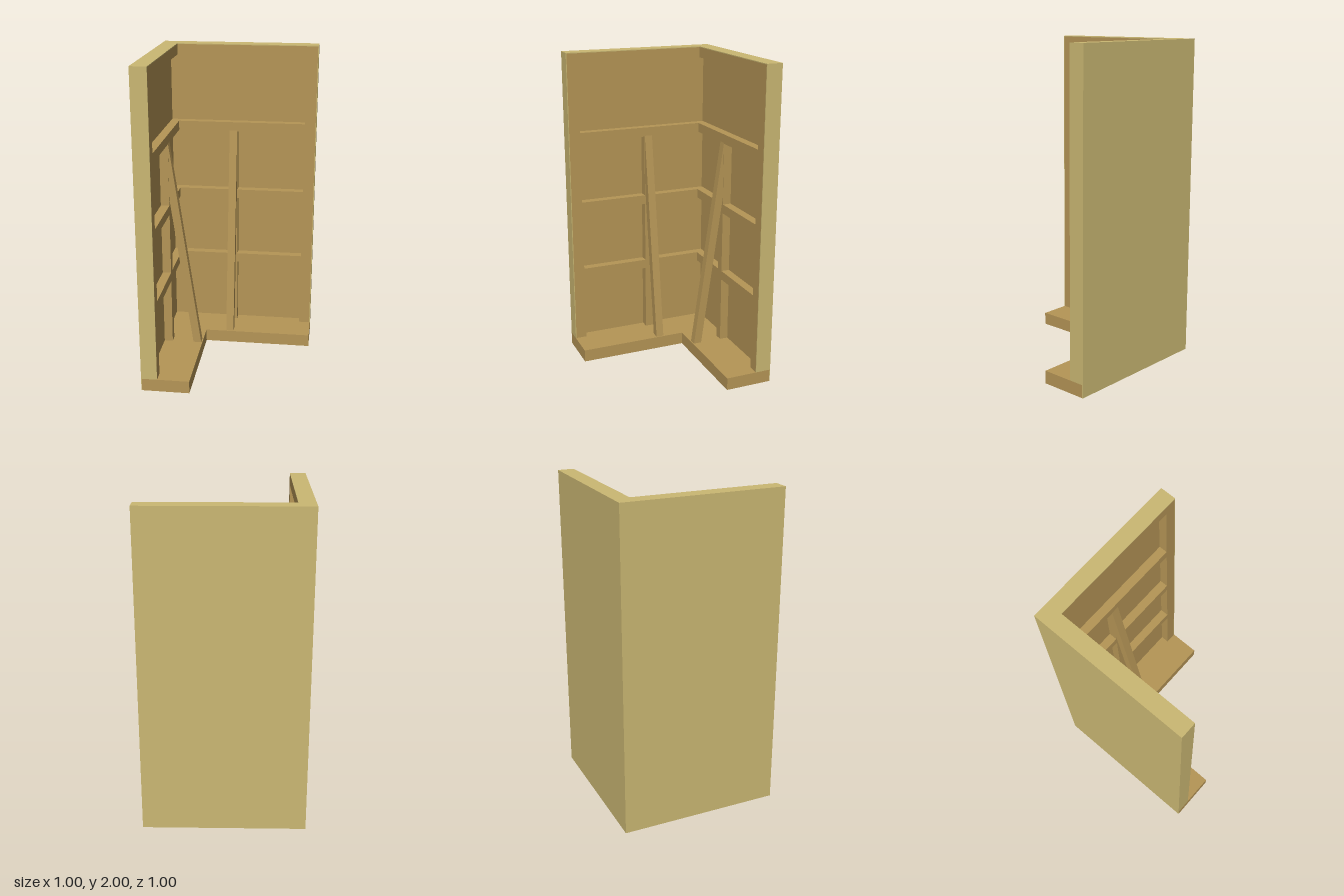
import * as THREE from 'three';

export function createModel() {
  const model = new THREE.Group();
  model.name = 'cornerWall';
  const plaster = new THREE.MeshStandardMaterial({ color: 0xcbb873 });
  plaster.name = 'pale outer facing';
  const wood = new THREE.MeshStandardMaterial({ color: 0xb59556 });
  wood.name = 'brown wood';

  // Both walls share one layout: a = along the wall, y = up, d = depth from the outside.
  function makeWall(name, alongX) {
    const wall = new THREE.Group();
    wall.name = name;
    model.add(wall);

    const box = (part, material, a0, a1, y0, y1, d0, d1) => {
      const a = a1 - a0, d = d1 - d0;
      const mesh = new THREE.Mesh(new THREE.BoxGeometry(alongX ? a : d, y1 - y0, alongX ? d : a), material);
      const am = (a0 + a1) / 2, dm = (d0 + d1) / 2;
      mesh.position.set(alongX ? am : dm, (y0 + y1) / 2, alongX ? dm : am);
      mesh.name = part;
      wall.add(mesh);
    };

    // Outer facing, with caps over the top and the free end
    box('outerFacing', plaster, -0.5, 0.495, 0.08, 1.995, -0.5, -0.457);
    box('topCap', plaster, -0.5, 0.5, 1.995, 2, -0.5, -0.4);
    box('endCap', plaster, 0.495, 0.5, 0.08, 1.995, -0.5, -0.4);
    box('lowerFacing', plaster, -0.5, 0.5, 0, 0.08, -0.5, -0.495);

    // Recessed inner lining and the floor plate
    box('innerLining', wood, -0.457, 0.495, 0.08, 1.995, -0.457, -0.455);
    box('floorPlate', wood, -0.495, 0.5, 0, 0.08, -0.495, -0.2);

    // Rails, end post and middle stud
    for (const [y0, y1] of [[0.515, 0.575], [0.975, 1.035], [1.435, 1.495], [1.93, 1.995]]) {
      box('rail', wood, -0.455, 0.495, y0, y1, -0.455, -0.4);
    }
    box('endPost', wood, 0.425, 0.495, 0.08, 1.995, -0.455, -0.4);
    box('middleStud', wood, -0.065, -0.012, 0.08, 1.495, -0.455, -0.4);

    // Slanted brace from the stud down to the floor plate
    const side = new THREE.Shape([[-0.4, 1.44], [-0.4, 1.08], [-0.26, 0.08], [-0.208, 0.08]]
      .map(([x, y]) => new THREE.Vector2(x, y)));
    const brace = new THREE.Mesh(new THREE.ExtrudeGeometry(side, { depth: 0.05, bevelEnabled: false }), wood);
    brace.name = 'brace';
    if (alongX) {
      brace.rotation.y = -Math.PI / 2;
      brace.position.x = -0.015;
    } else {
      brace.position.z = -0.065;
    }
    wall.add(brace);
  }

  makeWall('backWall', true);
  makeWall('rightWall', false);
  return model;
}
